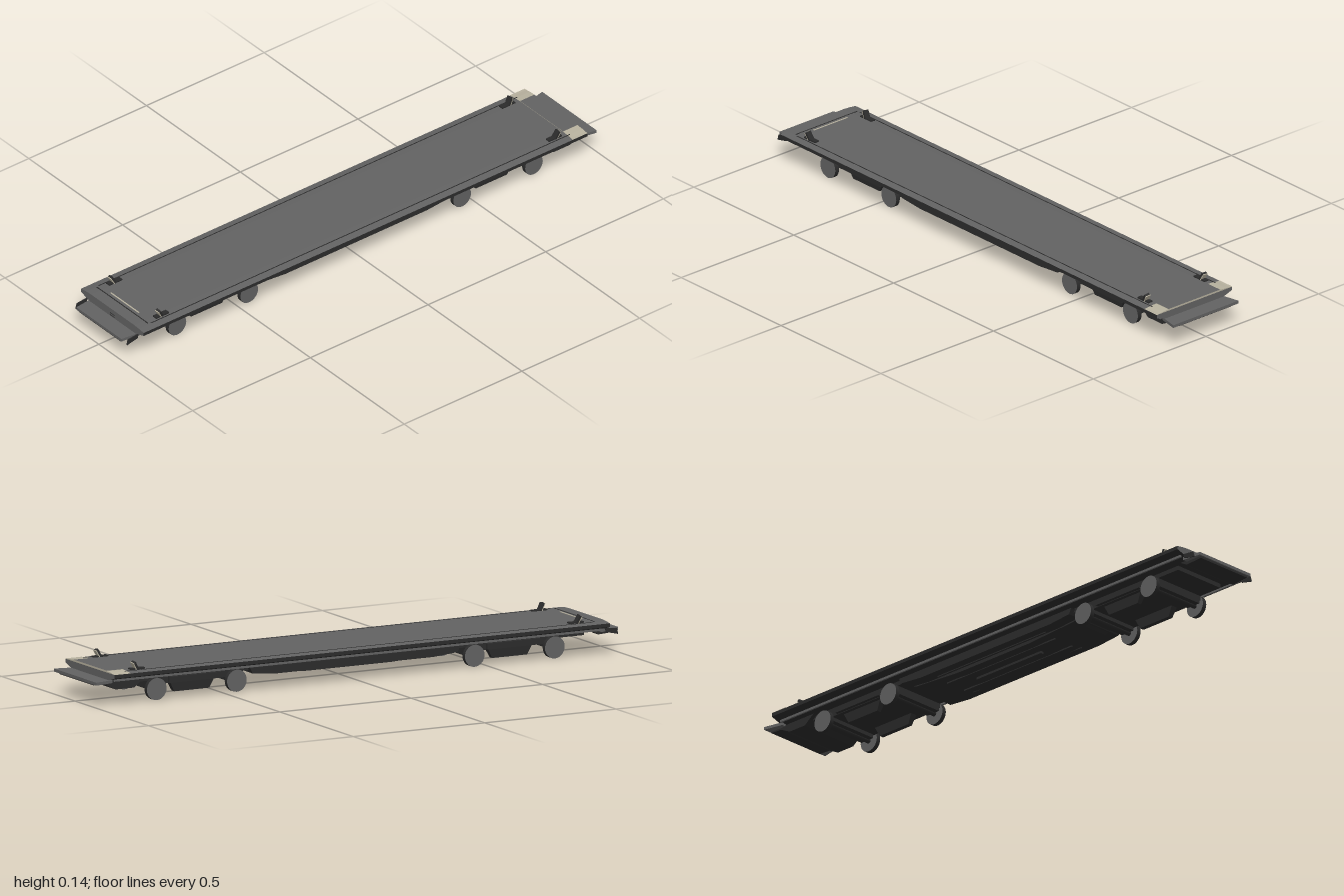
import * as THREE from 'three';

const mat = (name, color) => new THREE.MeshStandardMaterial({ name, color });

export function createModel() {
  const grey = mat('deck grey', 0x626262);
  const dark = mat('frame dark', 0x2c2c2c);
  const cream = mat('cream', 0xb8b29f);
  const model = new THREE.Group();
  model.name = 'flatWagon';

  const add = (name, geo, material, x = 0, y = 0, z = 0, parent = model) => {
    const m = new THREE.Mesh(geo, material);
    m.name = name;
    m.position.set(x, y, z);
    parent.add(m);
    return m;
  };
  const box = (name, material, w, h, d, x, y, z, parent) =>
    add(name, new THREE.BoxGeometry(w, h, d), material, x, y, z, parent);
  const extrude = (pts, depth) => {
    const g = new THREE.ExtrudeGeometry(
      new THREE.Shape(pts.map(p => new THREE.Vector2(...p))), { depth, bevelEnabled: false });
    return g.translate(0, 0, -depth / 2);
  };
  // cross-section in x,y mirrored about x = 0, running along z
  const beam = (half, depth) =>
    extrude([...half, ...half.slice().reverse().map(([x, y]) => [-x, y])], depth);
  // side outline in z,y, running across x
  const across = (pts, width) => extrude(pts, width).rotateY(-Math.PI / 2);

  // Deck: bevelled side body under a shallow crowned top
  add('deckBody', beam([[0.10, 0.08], [0.135, 0.088], [0.167, 0.098], [0.167, 0.11]], 1.885), [grey, dark]);
  add('deckTop', beam([[0.167, 0.11], [0.14, 0.1135], [0.115, 0.115]], 1.885), grey);
  add('backStripe', beam([[0.167, 0.1103], [0.14, 0.1138], [0.115, 0.1153], [0.115, 0.1165],
    [0.14, 0.115], [0.167, 0.1115]], 0.062), cream, 0, 0, -0.912);
  box('frontMark', cream, 0.15, 0.002, 0.005, -0.005, 0.115, 0.885);
  box('frontSeam', dark, 0.27, 0.002, 0.004, 0, 0.1145, 0.9);
  for (const y of [0.09, 0.098]) {
    for (const x of [-0.009, 0, 0.009]) box('frontVent', dark, 0.006, 0.002, 0.002, x, y, 0.943);
  }

  for (const s of [-1, 1]) {
    box('deckSeam', dark, 0.003, 0.002, 1.78, s * 0.14, 0.1135, 0);
    box('sideLip', grey, 0.006, 0.008, 1.86, s * 0.138, 0.086, 0);
    // Upright corner brackets with a pale outward plate
    for (const e of [-1, 1]) {
      const b = new THREE.Group();
      b.name = 'cornerBracket';
      b.position.set(s * 0.124, 0.114, e * 0.835);
      box('bracketFoot', dark, 0.018, 0.006, 0.055, 0, 0.002, 0, b);
      const plate = new THREE.Group();
      plate.name = 'bracketPlate';
      plate.rotation.set(e * 0.5, 0, -s * 0.12);
      box('bracketBack', dark, 0.02, 0.03, 0.008, 0, 0.015, 0, plate);
      box('bracketFace', cream, 0.02, 0.03, 0.003, 0, 0.015, e * 0.0055, plate);
      b.add(plate);
      model.add(b);
    }
    // Hanging blades beside the front coupling plate
    add('frontBlade', across([[0.94, 0.09], [0.945, 0.075], [0.99, 0.065], [0.985, 0.085]], 0.004),
      dark, s * 0.136);
  }

  // End plates: tapered at the front, flared at the back
  const endPlate = (name, z0, z1, w0, w1) => {
    const g = extrude([[-w0, z0], [w0, z0], [w1, z1], [-w1, z1]].map(([x, z]) => [x, -z])
      .reverse(), 0.01).rotateX(-Math.PI / 2);
    return add(name, g, grey, 0, 0.081, 0);
  };
  const frontShape = endPlate('frontPlate', 1, 0.93, 0.12, 0.128);
  frontShape.position.y = 0.08;
  const q = new THREE.Shape([[-0.13, 0.93], [0.13, 0.93], [0.145, 1], [-0.145, 1]]
    .map(p => new THREE.Vector2(...p)));
  add('backPlate', new THREE.ExtrudeGeometry(q, { depth: 0.01, bevelEnabled: false })
    .rotateX(-Math.PI / 2), grey, 0, 0.076, 0);
  add('frontSkirt', across([[0.9, 0.08], [0.93, 0.064], [0.995, 0.068], [0.995, 0.076], [0.94, 0.08]], 0.22), dark);
  add('backSkirt', across([[-0.8, 0.08], [-0.84, 0.05], [-0.91, 0.05], [-0.95, 0.07],
    [-0.995, 0.072], [-0.995, 0.077], [-0.94, 0.08]], 0.23), dark);

  // Underframe and belly
  box('underframe', dark, 0.2, 0.016, 1.76, 0, 0.073, 0);
  add('belly', across([[0.4, 0.078], [0.4, 0.062], [0.37, 0.049], [0.16, 0.037],
    [-0.16, 0.037], [-0.36, 0.049], [-0.4, 0.062], [-0.4, 0.078]], 0.15), dark);
  add('bellySides', across([[0.4, 0.076], [0.39, 0.056], [0.3, 0.048], [-0.3, 0.048],
    [-0.39, 0.056], [-0.4, 0.076]], 0.235), dark);
  box('centreKeel', dark, 0.012, 0.008, 0.3, 0, 0.033, 0);
  for (const x of [-0.085, -0.04, 0.04, 0.085]) {
    box('bellyRib', dark, 0.004, 0.005, 0.5, x, Math.abs(x) < 0.07 ? 0.037 : 0.047, 0);
  }

  // Bogies with two axles each
  const wheelGeo = new THREE.CylinderGeometry(0.0375, 0.0375, 0.016, 28).rotateZ(Math.PI / 2);
  for (const [zf, zb] of [[0.76, 0.455], [-0.45, -0.755]]) {
    const zc = (zf + zb) / 2;
    const bogie = new THREE.Group();
    bogie.name = 'bogie';
    bogie.position.z = zc;
    model.add(bogie);
    box('bogieFrame', dark, 0.2, 0.02, 0.36, 0, 0.06, 0, bogie);
    for (const s of [-1, 1]) {
      // Tapered equipment box between the axles
      const pod = new THREE.BoxGeometry(0.03, 0.055, 0.19);
      const p = pod.attributes.position;
      for (let i = 0; i < p.count; i++) {
        if (p.getY(i) < 0) p.setXYZ(i, p.getX(i) * 0.55, p.getY(i), p.getZ(i) * 0.7);
      }
      pod.computeVertexNormals();
      add('bogiePod', pod, dark, s * 0.074, 0.0435, 0, bogie);
      box('bogieSide', dark, 0.012, 0.02, 0.2, s * 0.106, 0.062, 0, bogie);
    }
    for (const z of [zf - zc, zb - zc]) {
      box('axleHousing', dark, 0.19, 0.038, 0.055, 0, 0.056, z, bogie);
      add('axle', new THREE.CylinderGeometry(0.009, 0.009, 0.21, 12).rotateZ(Math.PI / 2),
        dark, 0, 0.0375, z, bogie);
      for (const s of [-1, 1]) add('wheel', wheelGeo, [dark, grey, grey], s * 0.11, 0.0375, z, bogie);
    }
  }
  return model;
}
